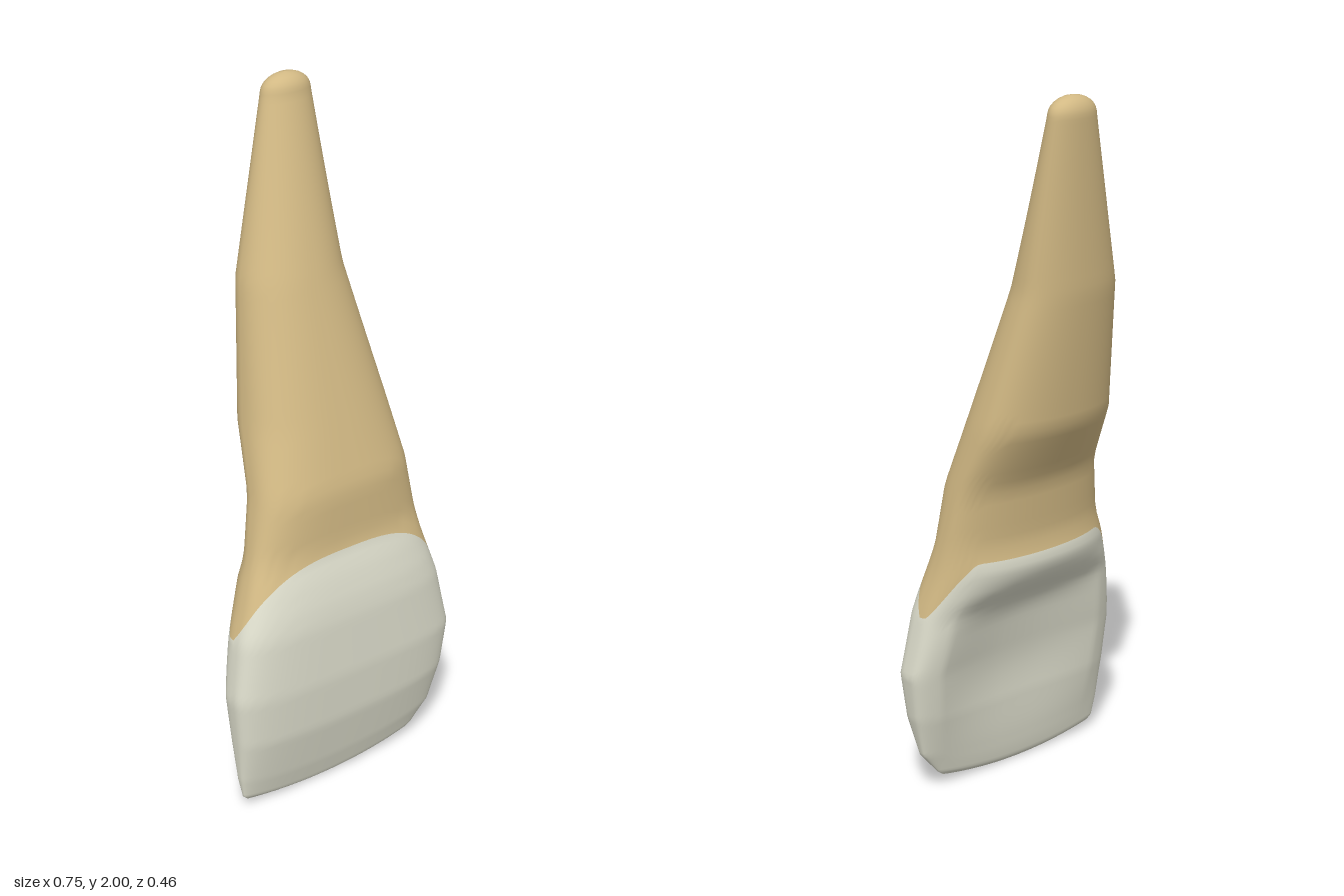
import * as THREE from 'three';

// Cross-sections going up: y, xRight, xLeft, zFront, zBack, zWidest
const SECTIONS = [
  [0.00, -0.33, 0.24, 0.153, 0.153, 0.153],
  [0.012, -0.345, 0.26, 0.167, 0.14, 0.153],
  [0.08, -0.357, 0.32, 0.187, 0.125, 0.15],
  [0.22, -0.368, 0.355, 0.218, 0.09, 0.147],
  [0.37, -0.378, 0.375, 0.228, 0.065, 0.143],
  [0.55, -0.35, 0.341, 0.222, 0.025, 0.125],
  [0.61, -0.325, 0.323, 0.213, -0.015, 0.115],
  [0.68, -0.298, 0.304, 0.195, -0.043, 0.10],
  [0.75, -0.27, 0.292, 0.17, -0.027, 0.085],
  [0.92, -0.23, 0.272, 0.167, -0.045, 0.045],
  [1.10, -0.199, 0.25, 0.115, -0.145, -0.032],
  [1.48, -0.142, 0.175, 0.005, -0.203, -0.115],
  [1.95, -0.012, 0.14, -0.138, -0.228, -0.185],
];
const SIDES = 96, CROWN_ROWS = 44, ROOT_ROWS = 56;
const { clamp, lerp, smoothstep } = THREE.MathUtils;

function sectionAt(y) {
  let k = 0;
  while (k < SECTIONS.length - 2 && y > SECTIONS[k + 1][0]) k++;
  const a = SECTIONS[k], b = SECTIONS[k + 1];
  const t = clamp((y - a[0]) / (b[0] - a[0]), 0, 1);
  return a.map((v, i) => lerp(v, b[i], t));
}

// Point on the surface: superellipse halves meeting at the widest line
function surfacePoint(angle, y) {
  const [, x0, x1, zFront, zBack, zMid] = sectionAt(y);
  const c = Math.cos(angle), s = Math.sin(angle);
  // boxy crown, rounder root
  const n = s >= 0
    ? lerp(3.3, 2, smoothstep(y, 0.2, 1.9))
    : lerp(3, 2.1, smoothstep(y, 0.4, 0.7));
  // rounded root tip
  const cap = Math.sqrt(Math.max(0, 1 - clamp((y - 1.95) / 0.05, 0, 1) ** 2));
  const u = Math.sign(c) * Math.abs(c) ** (2 / n);
  const v = Math.abs(s) ** (2 / n);
  const x = (x0 + x1) / 2 + u * cap * (x1 - x0) / 2;
  let z = zMid + v * cap * ((s >= 0 ? zFront : zBack) - zMid);
  // hollow between the ridges on the back of the crown
  if (s < 0) {
    const depth = 0.045 * smoothstep(y, 0.02, 0.35) * (1 - smoothstep(y, 0.48, 0.66));
    z += depth * Math.max(0, 1 - (u / 0.8) ** 2);
  }
  // curved biting edge
  const lift = 0.35 * (x + 0.06) ** 2 * Math.max(0, 1 - y / 0.5) ** 2;
  return [x, y + lift, z];
}

// Height of the line between crown and root
function gumLine(angle) {
  const s = Math.sin(angle);
  return s >= 0
    ? 0.55 + 0.19 * s ** 0.75
    : 0.55 + 0.16 * smoothstep(-s, 0.1, 0.7);
}

function bandIndices(firstRow, lastRow) {
  const index = [];
  for (let j = firstRow; j < lastRow; j++) {
    for (let i = 0; i < SIDES; i++) {
      const a = j * SIDES + i, b = j * SIDES + (i + 1) % SIDES;
      index.push(a, a + SIDES, b, b, a + SIDES, b + SIDES);
    }
  }
  return index;
}

export function createModel() {
  const group = new THREE.Group();
  group.name = 'tooth';
  const enamel = new THREE.MeshStandardMaterial({ color: 0xdcdccb });
  enamel.name = 'enamel';
  const dentine = new THREE.MeshStandardMaterial({ color: 0xd2b984 });
  dentine.name = 'dentine';

  // Rows follow the gum line so the colours meet on an edge
  const positions = [];
  const rows = CROWN_ROWS + ROOT_ROWS;
  for (let j = 0; j <= rows; j++) {
    for (let i = 0; i < SIDES; i++) {
      const angle = (i / SIDES) * Math.PI * 2;
      const seam = gumLine(angle);
      const y = j <= CROWN_ROWS
        ? seam * (j / CROWN_ROWS) ** 1.4
        : seam + (2 - seam) * (1 - (1 - (j - CROWN_ROWS) / ROOT_ROWS) ** 1.5);
      positions.push(...surfacePoint(angle, y));
    }
  }
  const whole = new THREE.BufferGeometry();
  whole.setAttribute('position', new THREE.Float32BufferAttribute(positions, 3));
  whole.setIndex(bandIndices(0, rows));
  whole.computeVertexNormals();

  // Crown and root share the smooth normals
  const addPart = (name, material, from, to) => {
    const geometry = whole.clone();
    geometry.setIndex(bandIndices(from, to));
    const mesh = new THREE.Mesh(geometry, material);
    mesh.name = name;
    group.add(mesh);
  };
  addPart('crown', enamel, 0, CROWN_ROWS);
  addPart('root', dentine, CROWN_ROWS, rows);
  return group;
}
